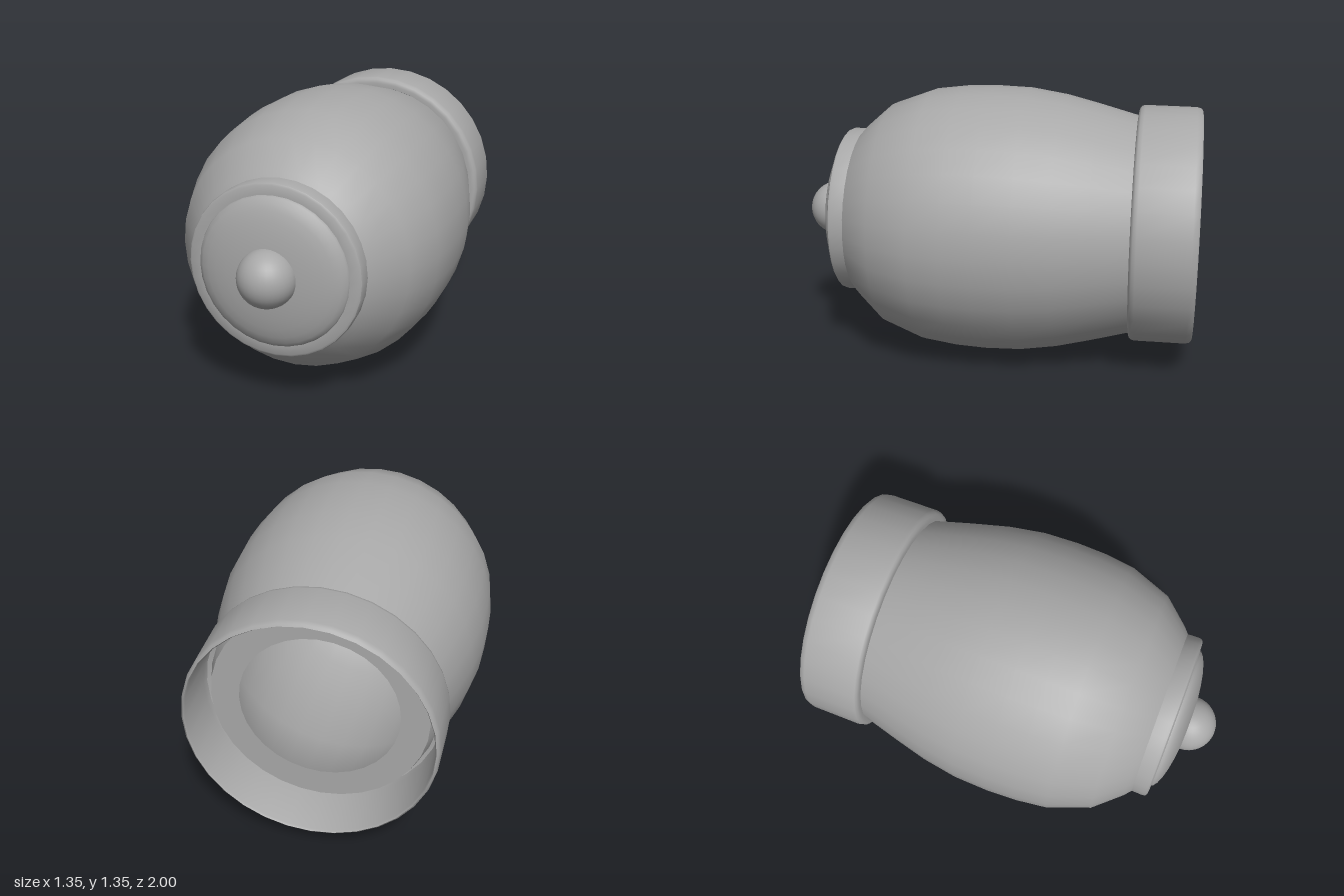
import * as THREE from 'three';
import { toCreasedNormals } from 'three/addons/utils/BufferGeometryUtils.js';

const grey = new THREE.MeshStandardMaterial({ color: 0xa8a8a8, side: THREE.DoubleSide });
grey.name = 'plain grey';

// Turned part along z: profile is a list of [radius, z], running back to front on the outside
function turned(name, profile, centreY, sides = 32) {
  const points = profile.map(([r, z]) => new THREE.Vector2(r, z));
  const geometry = new THREE.LatheGeometry(points, sides);
  geometry.rotateX(Math.PI / 2);
  const mesh = new THREE.Mesh(toCreasedNormals(geometry, 0.65), grey);
  mesh.name = name;
  mesh.position.y = centreY;
  return mesh;
}

export function createModel() {
  const group = new THREE.Group();
  group.name = 'barrelHousing';

  // Bulging hollow body: cavity, flat rear rim, then outer skin
  group.add(turned('body', [
    [0, 0.66], [0.38, 0.66], [0.53, 0.52], [0.61, 0.33], [0.64, 0.03],
    [0.60, -0.33], [0.51, -0.68], [0.38, -0.79],
    [0.515, -0.79], [0.547, -0.69], [0.598, -0.5], [0.64, -0.33], [0.668, -0.15],
    [0.674, 0.03], [0.668, 0.18], [0.648, 0.34], [0.57, 0.55], [0.455, 0.68], [0.41, 0.72], [0, 0.72],
  ], 0.68));

  // Thin open collar around the rear, with rounded edges
  group.add(turned('rearCollar', [
    [0.54, -0.70], [0.562, -0.71], [0.568, -0.74], [0.568, -0.99], [0.574, -1],
    [0.584, -0.992], [0.59, -0.97], [0.592, -0.72], [0.588, -0.703], [0.578, -0.693],
    [0.56, -0.689], [0.54, -0.689],
  ], 0.688));

  // Front ring with softened edge
  group.add(turned('frontRing', [
    [0.36, 0.70], [0.42, 0.70], [0.422, 0.77], [0.418, 0.783],
    [0.408, 0.79], [0.36, 0.79],
  ], 0.688));

  // Shallow domed cap
  const dome = [[0.366, 0.76]];
  for (let i = 0; i <= 8; i++) {
    const a = (i / 8) * Math.PI / 2;
    dome.push([0.366 * Math.cos(a), 0.785 + 0.085 * Math.sin(a)]);
  }
  group.add(turned('domedCap', dome, 0.688));

  // Round knob at the tip
  const knob = new THREE.Mesh(new THREE.SphereGeometry(0.138, 32, 20), grey);
  knob.name = 'frontKnob';
  knob.position.set(0, 0.688, 0.862);
  group.add(knob);

  return group;
}
